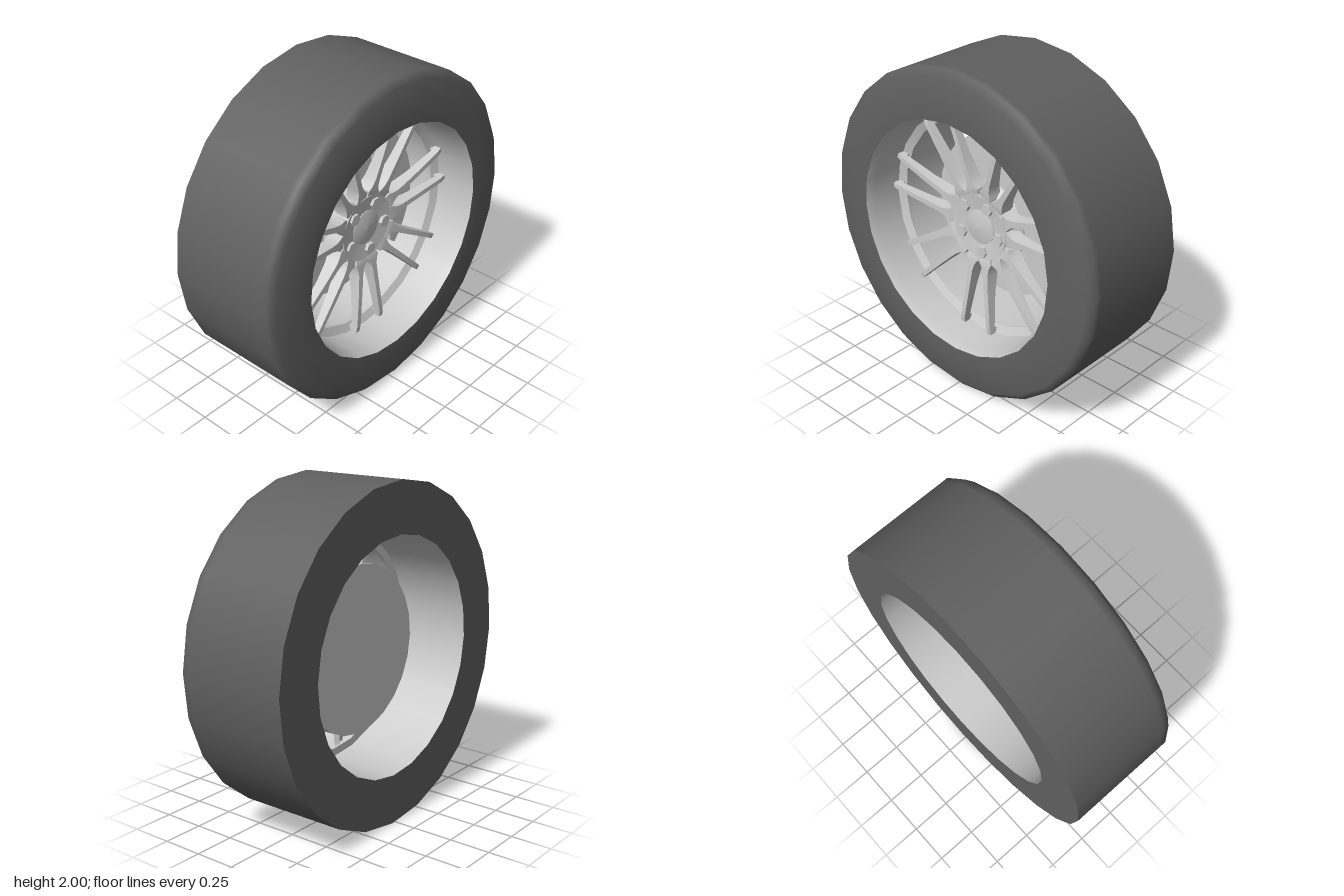
import * as THREE from 'three';
import { mergeGeometries, toCreasedNormals } from 'three/addons/utils/BufferGeometryUtils.js';

const DEG = Math.PI / 180;
const metal = new THREE.MeshStandardMaterial({ color: 0xcccccc });
const rubber = new THREE.MeshStandardMaterial({ color: 0x606060 });
const barrelMetal = new THREE.MeshStandardMaterial({ color: 0xcccccc, side: THREE.DoubleSide });

// Revolves [radius, x] points around the axle; each section is smooth, with sharp edges between
function turned(name, sections, material = metal, sides = 24) {
  const parts = sections.map((section) => {
    const points = section.map(([r, x]) => new THREE.Vector2(r, x));
    return new THREE.LatheGeometry(points, sides, 1.7 * DEG).rotateZ(-Math.PI / 2);
  });
  const mesh = new THREE.Mesh(mergeGeometries(parts), material);
  mesh.name = name;
  return mesh;
}

// Tapered spoke, lofted outward along +y; side picks the half of the pair
function spokeGeometry(side) {
  // radius, sideways offset, front half width, back half width, front x, back x
  const stations = [
    [0.19, 0.0425, 0.042, 0.042, 0.127, 0.05],
    [0.22, 0.049, 0.048, 0.049, 0.136, 0.05],
    [0.24, 0.053, 0.034, 0.042, 0.138, 0.052],
    [0.265, 0.057, 0.024, 0.033, 0.14, 0.057],
    [0.3, 0.061, 0.018, 0.026, 0.143, 0.067],
    [0.42, 0.075, 0.016, 0.02, 0.152, 0.092],
    [0.64, 0.103, 0.015, 0.016, 0.165, 0.122],
    [0.652, 0.105, 0.015, 0.016, 0.164, 0.085],
    [0.688, 0.109, 0.015, 0.016, 0.158, 0.085],
  ];
  const loops = stations.map(([r, offset, front, back, xf, xb]) => {
    const z = offset * side;
    return [[xf, r, z - front], [xb, r, z - back], [xb, r, z + back], [xf, r, z + front]];
  });
  const positions = [];
  const quad = (a, b, c, d) => positions.push(...a, ...b, ...c, ...a, ...c, ...d);
  for (let i = 0; i < loops.length - 1; i++) {
    const p = loops[i], q = loops[i + 1];
    for (let k = 0; k < 4; k++) {
      const n = (k + 1) % 4;
      quad(p[k], p[n], q[n], q[k]);
    }
  }
  const first = loops[0], last = loops[loops.length - 1];
  quad(first[3], first[2], first[1], first[0]);
  quad(last[0], last[1], last[2], last[3]);
  const geometry = new THREE.BufferGeometry();
  geometry.setAttribute('position', new THREE.Float32BufferAttribute(positions, 3));
  return toCreasedNormals(geometry, 0.5);
}

export function createModel() {
  const model = new THREE.Group();
  model.name = 'wheel';
  model.position.y = 1;

  // Tyre with a rounded outer shoulder and a flat inner side
  model.add(turned('tyre', [
    [[0.7, -0.365], [1, -0.365]],
    [[1, -0.365], [1, 0.27], [1, 0.31], [0.96, 0.345], [0.8, 0.362], [0.715, 0.36]],
  ], rubber));

  // Rim barrel and the bevelled lip that carries the spokes
  model.add(turned('rimBarrel', [
    [[0.715, 0.36], [0.7, 0.3], [0.693, 0.1], [0.7, -0.365]],
  ], barrelMetal));
  model.add(turned('rimLip', [
    [[0.645, 0.08], [0.697, 0.08]],
    [[0.697, 0.12], [0.645, 0.095]],
    [[0.645, 0.095], [0.645, 0.08]],
  ]));

  // Dished hub with centre cap
  model.add(turned('hub', [
    [[0, 0.03], [0.262, 0.03]],
    [[0.262, 0.03], [0.262, 0.045], [0.225, 0.085], [0.205, 0.131]],
    [[0.205, 0.131], [0, 0.106]],
  ], metal, 28));
  model.add(turned('centreCap', [
    [[0.108, 0.105], [0.107, 0.123]],
    [[0.107, 0.123], [0.06, 0.133], [0, 0.137]],
  ]));

  // Seven pairs of spokes
  const halves = [spokeGeometry(-1), spokeGeometry(1)];
  for (let i = 0; i < 7; i++) {
    const pair = new THREE.Group();
    pair.name = 'spokePair';
    pair.rotation.x = (12.6 + (i * 360) / 7 - 90) * DEG;
    for (const geometry of halves) {
      const spoke = new THREE.Mesh(geometry, metal);
      spoke.name = 'spoke';
      pair.add(spoke);
    }
    model.add(pair);
  }

  // Five hexagonal wheel bolts
  const boltGeometry = toCreasedNormals(
    new THREE.CylinderGeometry(0.037, 0.037, 0.05, 6).rotateZ(-Math.PI / 2), 0.5);
  for (let i = 0; i < 5; i++) {
    const a = (-8.5 + i * 72) * DEG;
    const bolt = new THREE.Mesh(boltGeometry, metal);
    bolt.name = 'wheelBolt';
    bolt.position.set(0.118, 0.153 * Math.sin(a), -0.153 * Math.cos(a));
    model.add(bolt);
  }

  // Brake disc
  model.add(turned('brakeDisc', [
    [[0, -0.1], [0.505, -0.1]],
    [[0.505, -0.1], [0.505, -0.06]],
    [[0.505, -0.06], [0, -0.06]],
  ]));

  // Brake caliper: a circle segment clamped over the disc edge
  const polar = (r, deg) => [r * Math.cos(deg * DEG), r * Math.sin(deg * DEG)];
  const outline = new THREE.Shape();
  outline.moveTo(...polar(0.53, -41.5));
  outline.lineTo(...polar(0.573, -41));
  outline.absarc(0, 0, 0.573, -41 * DEG, 65 * DEG, false);
  outline.lineTo(...polar(0.515, 65.3));
  const caliper = new THREE.Mesh(
    new THREE.ExtrudeGeometry(outline, { depth: 0.145, bevelEnabled: false, curveSegments: 7 })
      .rotateY(Math.PI / 2).translate(-0.155, 0, 0), metal);
  caliper.name = 'brakeCaliper';
  model.add(caliper);

  const group = new THREE.Group();
  group.add(model);
  return group;
}
